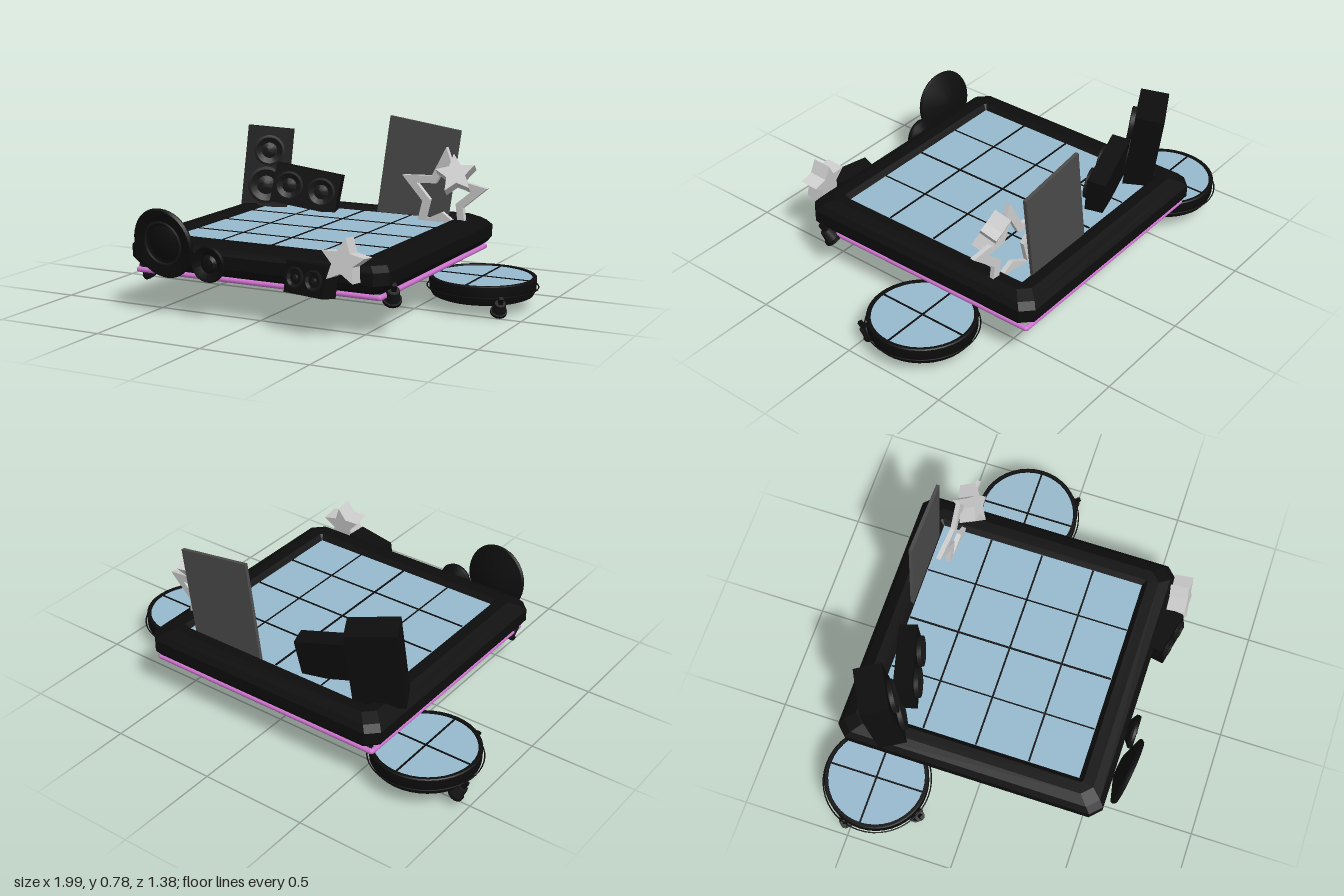
import * as THREE from 'three';
import { toCreasedNormals } from 'three/addons/utils/BufferGeometryUtils.js';

const paint = (name, color) => {
  const m = new THREE.MeshStandardMaterial({ color });
  m.name = name;
  return m;
};

export function createModel() {
  const root = new THREE.Group();
  root.name = 'stage';
  const black = paint('black', 0x0d0d0d);
  const dark = paint('charcoal', 0x161616);
  const blue = paint('floorBlue', 0x97b9cd);
  const pink = paint('neonPink', 0xd074d0);
  const gray = paint('screenGray', 0x4b4b4b);
  const silver = paint('starSilver', 0xcdcdcd);

  const add = (parent, name, geo, mat, pos = [0, 0, 0], rot = [0, 0, 0]) => {
    const m = new THREE.Mesh(geo, mat);
    m.name = name;
    m.position.set(...pos);
    m.rotation.set(...rot, 'YXZ');
    parent.add(m);
    return m;
  };
  const group = (name, pos, rot = [0, 0, 0]) => {
    const g = new THREE.Group();
    g.name = name;
    g.position.set(...pos);
    g.rotation.set(...rot, 'YXZ');
    root.add(g);
    return g;
  };
  const box = (w, h, d) => new THREE.BoxGeometry(w, h, d);
  const lathe = (pts, n = 40) => toCreasedNormals(
    new THREE.LatheGeometry(pts.map(p => new THREE.Vector2(...p)), n), 0.5);

  // Square frame: cross-section [half size, corner chamfer, y] swept round eight corners
  function frameGeometry(profile) {
    const rings = profile.map(([h, c, y]) => [
      [h, h - c], [h - c, h], [c - h, h], [-h, h - c],
      [-h, c - h], [c - h, -h], [h - c, -h], [h, c - h],
    ].map(([x, z]) => [x, y, z]));
    const v = [];
    for (let i = 0; i < rings.length - 1; i++) {
      for (let j = 0; j < 8; j++) {
        const k = (j + 1) % 8;
        const a = rings[i][j], b = rings[i][k], c = rings[i + 1][k], d = rings[i + 1][j];
        v.push(...a, ...d, ...b, ...b, ...d, ...c);
      }
    }
    const g = new THREE.BufferGeometry();
    g.setAttribute('position', new THREE.Float32BufferAttribute(v, 3));
    g.computeVertexNormals();
    return g;
  }

  // Main square platform with its tiled floor
  const platform = group('platform', [-0.003, 0, -0.042]);
  add(platform, 'platformFrame', frameGeometry([
    [0.001, 0, 0.175], [0.575, 0.04, 0.175], [0.61, 0.05, 0.2], [0.627, 0.05, 0.225],
    [0.627, 0.05, 0.28], [0.605, 0.05, 0.305], [0.56, 0.045, 0.326],
    [0.51, 0.01, 0.326], [0.485, 0.001, 0.3],
  ]), black);
  add(platform, 'platformFloor', box(0.975, 0.02, 0.975), blue, [0, 0.295, 0]);
  for (const t of [-0.25, 0, 0.25]) {
    const w = t === 0 ? 0.009 : 0.006;
    add(platform, 'tileSeam', box(w, 0.004, 0.97), black, [t, 0.306, 0]);
    add(platform, 'tileSeam', box(0.97, 0.004, 0.008), black, [0, 0.306, t]);
  }

  // Neon tube under the platform edge
  for (let i = 0; i < 4; i++) {
    const a = i * Math.PI / 2;
    add(platform, 'neonTube', new THREE.CapsuleGeometry(0.012, 1.17, 4, 10), pink,
      [Math.sin(a) * 0.588, 0.17, Math.cos(a) * 0.588], [0, a, Math.PI / 2]);
  }

  // Small tilted lamp used as a foot
  const lamp = (pos, yaw, s = 1) => {
    const g = group('lamp', pos, [0.6, yaw, 0]);
    g.scale.setScalar(s);
    add(g, 'lampHousing', new THREE.CylinderGeometry(0.026, 0.036, 0.06, 14), dark);
    add(g, 'lampRim', new THREE.CylinderGeometry(0.041, 0.041, 0.015, 14), black, [0, -0.028, 0]);
    add(g, 'lampMount', box(0.02, 0.05, 0.02), black, [0, 0.04, 0]);
  };
  lamp([0.61, 0.17, 0.47], 0.6, 1);
  lamp([-0.575, 0.17, 0.5], -0.6, 1);

  // Round side platforms
  const roundStage = (x, y, z) => {
    const g = group('roundStage', [x, y, z]);
    add(g, 'roundBase', lathe([
      [0, 0], [0.2, 0], [0.225, 0.01], [0.238, 0.035], [0.24, 0.09],
      [0.235, 0.094], [0.222, 0.094], [0.22, 0.085],
    ]), black);
    add(g, 'roundFloor', new THREE.CylinderGeometry(0.222, 0.222, 0.01, 40), blue, [0, 0.082, 0]);
    add(g, 'roundSeam', box(0.008, 0.004, 0.44), black, [0, 0.088, 0]);
    add(g, 'roundSeam', box(0.44, 0.004, 0.008), black, [0, 0.088, 0]);
    add(g, 'outerRing', new THREE.TorusGeometry(0.248, 0.003, 6, 48), black,
      [0, 0.045, 0], [Math.PI / 2, 0, 0]);
  };
  roundStage(-0.735, 0.066, -0.44);
  roundStage(0.745, 0.041, -0.198);
  lamp([-0.955, 0.068, -0.515], -1.3, 0.9);
  lamp([-0.825, 0.066, -0.215], -0.4, 0.9);
  lamp([0.895, 0.042, -0.015], 0.6, 0.9);

  // Speaker cone facing +z
  const driver = (parent, x, y, z, r) => {
    const g = lathe([[0, 0], [r, 0], [r, 0.02], [r * 0.85, 0.022], [r * 0.5, 0.008],
      [r * 0.35, 0.012], [r * 0.2, 0.018], [0, 0.02]], 28);
    add(parent, 'speakerCone', g, dark, [x, y, z], [Math.PI / 2, 0, 0]);
  };

  // Tall speaker and low wide speaker at the back
  const tall = group('tallSpeaker', [-0.505, 0.495, -0.475], [-0.12, 0.5, -0.1]);
  add(tall, 'tallCabinet', box(0.225, 0.39, 0.13), black);
  driver(tall, 0, 0.08, 0.065, 0.075);
  driver(tall, 0, -0.09, 0.065, 0.09);
  const wide = group('wideSpeaker', [-0.265, 0.41, -0.435], [-0.1, 0.28, -0.17]);
  add(wide, 'wideCabinet', box(0.325, 0.19, 0.085), black);
  for (const x of [-0.08, 0.08]) driver(wide, x, 0, 0.0425, 0.07);

  // Loose cones hung on the front edge
  const hornGeometry = r => lathe([
    [0, -0.05], [r * 0.35, -0.045], [r * 0.97, -0.01], [r, 0], [r * 0.95, 0.012],
    [r * 0.85, 0.01], [r * 0.5, -0.005], [r * 0.35, 0.008], [0, 0.016],
  ]);
  const big = group('bigFrontCone', [-0.4, 0.322, 0.64], [0.14, -0.1, 0]);
  add(big, 'bigCone', hornGeometry(0.158), black, [0, 0, 0], [Math.PI / 2, 0, 0]);
  add(big, 'bigConeRing', new THREE.TorusGeometry(0.095, 0.006, 8, 32), dark, [0, 0, 0.005]);
  const small = group('smallFrontCone', [-0.19, 0.245, 0.615]);
  add(small, 'smallCone', hornGeometry(0.08), black, [0, 0, 0], [Math.PI / 2, 0, 0]);

  // Small speaker on the front edge
  const front = group('frontSpeaker', [0.305, 0.235, 0.615], [-0.15, -0.22, 0]);
  add(front, 'frontCabinet', box(0.21, 0.135, 0.085), black);
  for (const x of [-0.05, 0.05]) driver(front, x, 0, 0.03, 0.045);

  // Leaning screen at the back
  add(root, 'screen', box(0.363, 0.5, 0.016), gray, [0.275, 0.503, -0.541], [0, 0, -0.141]);

  // Five-pointed stars
  const starPath = (r, Type = THREE.Shape) => new Type(
    Array.from({ length: 10 }, (_, i) => {
      const a = Math.PI / 2 + i * Math.PI / 5, q = i % 2 ? r * 0.48 : r;
      return new THREE.Vector2(Math.cos(a) * q, Math.sin(a) * q);
    }));
  const star = (r, depth, hole) => {
    const s = starPath(r);
    if (hole) s.holes.push(starPath(hole, THREE.Path));
    return new THREE.ExtrudeGeometry(s, { depth, bevelEnabled: false }).translate(0, 0, -depth / 2);
  };
  add(root, 'outlineStar', star(0.235, 0.022, 0.15), silver, [0.45, 0.425, -0.44], [0, -0.1, -0.06]);
  add(root, 'upperStar', star(0.095, 0.08), silver, [0.525, 0.535, -0.405], [-0.45, 0.25, 0.15]);
  add(root, 'frontStar', star(0.1, 0.085), silver, [0.473, 0.33, 0.63], [-0.12, 0.06, -0.1]);

  return root;
}
